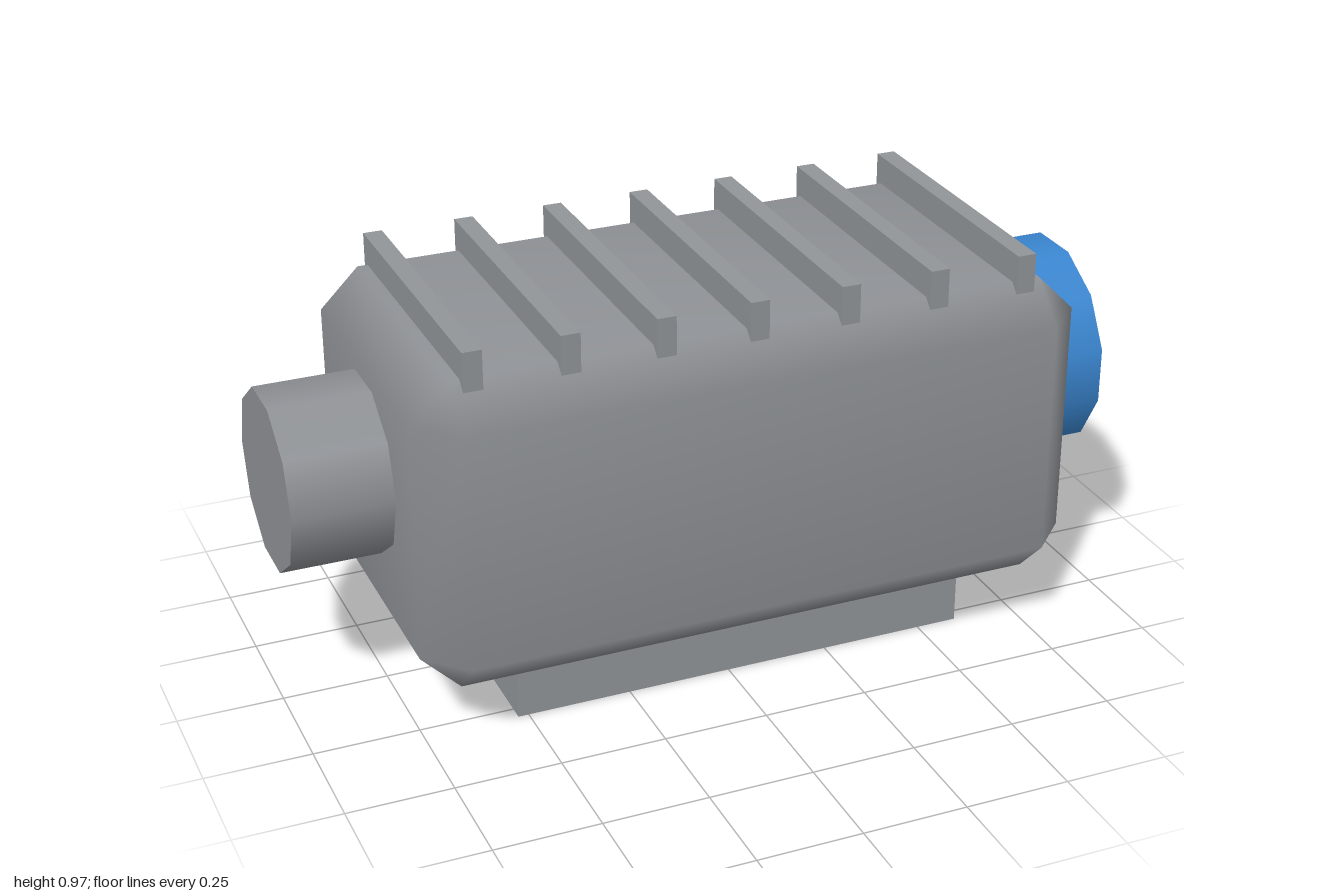
import * as THREE from 'three';
import { mergeVertices } from 'three/addons/utils/BufferGeometryUtils.js';
import { ConvexGeometry } from 'three/addons/geometries/ConvexGeometry.js';

const material = (name, color) => new THREE.MeshStandardMaterial({ name, color });

// Box with cut edges and corners, shaded smoothly across the bevels
function bevelledBox(w, h, d, b) {
  const points = [];
  for (const sx of [-1, 1]) for (const sy of [-1, 1]) for (const sz of [-1, 1]) {
    const x = w / 2, y = h / 2, z = d / 2;
    points.push(
      new THREE.Vector3(sx * x, sy * (y - b), sz * (z - b)),
      new THREE.Vector3(sx * (x - b), sy * y, sz * (z - b)),
      new THREE.Vector3(sx * (x - b), sy * (y - b), sz * z));
  }
  const hull = new ConvexGeometry(points);
  hull.deleteAttribute('normal');
  const geometry = mergeVertices(hull, 1e-4);
  geometry.computeVertexNormals();
  return geometry;
}

export function createModel() {
  const model = new THREE.Group();
  model.name = 'motor';
  const grey = material('casing grey', 0x8e9195);
  const lightGrey = material('fin grey', 0x919597);
  const blue = material('cap blue', 0x3a86d0);
  const black = material('hub black', 0x0d0d0d);
  const axisY = 0.57;

  const add = (name, geometry, mat, x, y, z = 0) => {
    const mesh = new THREE.Mesh(geometry, mat);
    mesh.name = name;
    mesh.position.set(x, y, z);
    model.add(mesh);
    return mesh;
  };

  // Cylinder lying along x between two ends
  const barrel = (name, radius, sides, x0, x1, mat, turn = 0) => {
    const geometry = new THREE.CylinderGeometry(radius, radius, x1 - x0, sides, 1, false, turn);
    geometry.rotateZ(-Math.PI / 2);
    add(name, geometry, mat, (x0 + x1) / 2, axisY);
  };

  // Casing and foot
  add('casing', bevelledBox(1.605, 0.755, 0.85, 0.093), grey, 0.0375, 0.5225);
  add('base', new THREE.BoxGeometry(1.125, 0.17, 0.57), lightGrey, 0.0375, 0.085);

  // Cooling fins across the top
  for (let i = 0; i < 7; i++) {
    add('fin', new THREE.BoxGeometry(0.045, 0.095, 0.71), lightGrey, -0.625 + i * 0.2208, 0.9225);
  }

  // Rear stub, blue end cap and its dark hub
  barrel('stub', 0.2125, 10, -1, -0.74, grey);
  barrel('endCap', 0.2588, 12, 0.82, 0.985, blue, Math.PI / 12);
  const hub = new THREE.CircleGeometry(0.095, 8, Math.PI / 8);
  hub.rotateY(Math.PI / 2);
  add('hub', hub, black, 1, axisY);

  return model;
}
